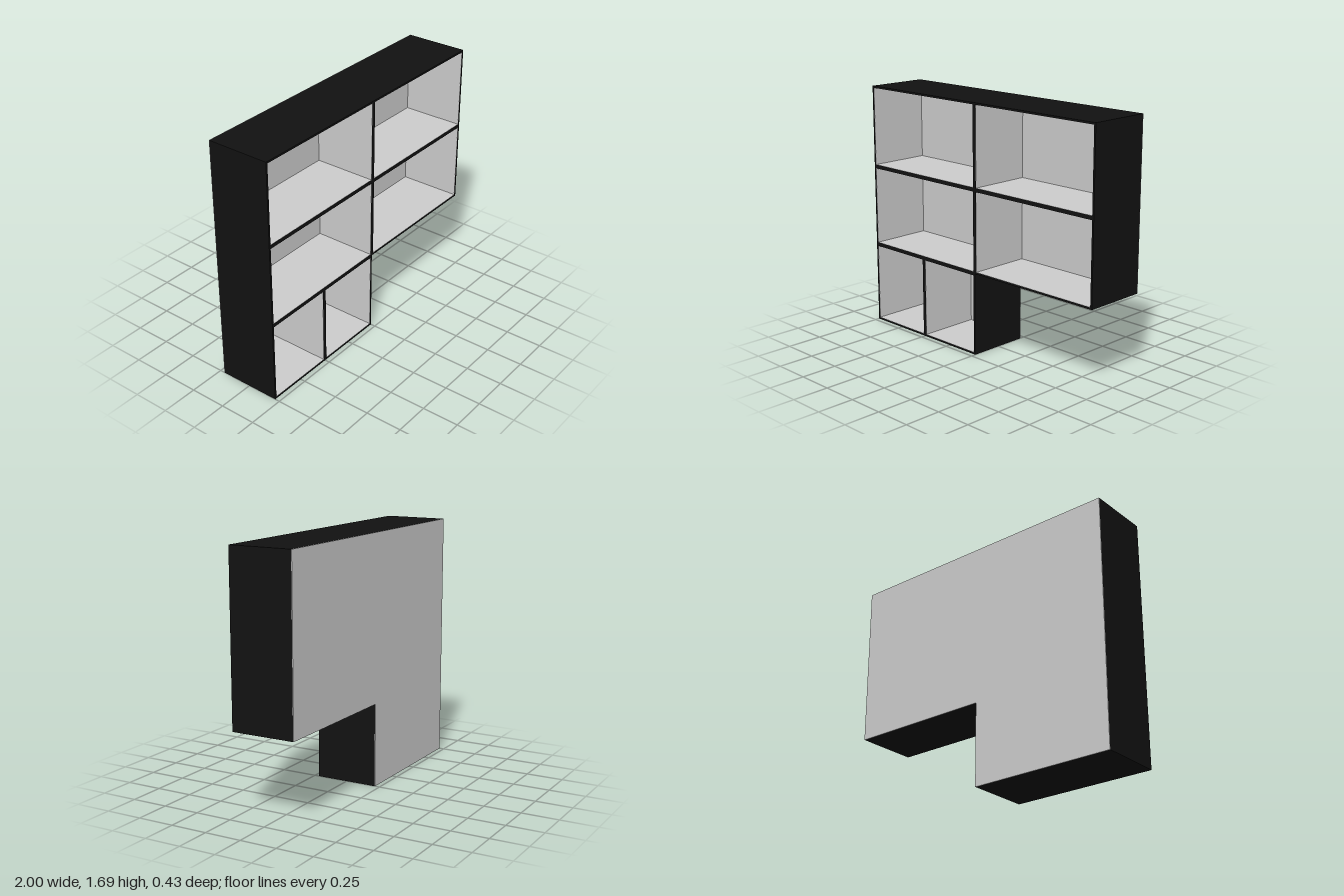
import * as THREE from 'three';

const H = 1.69 / 3;      // height of one row
const D = 0.434;         // overall depth
const WALL = 0.0125;     // wall of one compartment
const BACK = 0.004;      // back panel thickness
const SKIN = 0.001;      // inner lining thickness

// Compartments: left edge, row, width
const cells = [
  [-1, 0, 0.5], [-0.5, 0, 0.5],
  [-1, 1, 1], [0, 1, 1],
  [-1, 2, 1], [0, 2, 1],
];

const rectPoints = (x, y, w, h, inset) => [
  [x + inset, y + inset], [x + w - inset, y + inset],
  [x + w - inset, y + h - inset], [x + inset, y + h - inset],
].map(([a, b]) => new THREE.Vector2(a, b));

function extrude(shape, depth, z, material, name) {
  const geometry = new THREE.ExtrudeGeometry(shape, { depth, bevelEnabled: false });
  const mesh = new THREE.Mesh(geometry, material);
  mesh.position.z = z;
  mesh.name = name;
  return mesh;
}

export function createModel() {
  const black = new THREE.MeshStandardMaterial({ color: 0x111111 });
  const grey = new THREE.MeshStandardMaterial({ color: 0xcccccc });
  const group = new THREE.Group();
  group.name = 'shelfUnit';
  const zBack = -D / 2;

  // Stepped outline shared by the frame and the back panel
  const outline = [[-1, 0], [0, 0], [0, H], [1, H], [1, 3 * H], [-1, 3 * H]]
    .map(([x, y]) => new THREE.Vector2(x, y));

  // Dark frame with one opening per compartment
  const frame = new THREE.Shape(outline);
  for (const [x, row, w] of cells) {
    frame.holes.push(new THREE.Path(rectPoints(x, row * H, w, H, WALL)));
  }
  group.add(extrude(frame, D - BACK, zBack + BACK, black, 'frame'));

  // Grey back panel
  group.add(extrude(new THREE.Shape(outline), BACK, zBack, grey, 'backPanel'));

  // Grey lining on the inside walls of each compartment
  for (const [x, row, w] of cells) {
    const ring = new THREE.Shape(rectPoints(x, row * H, w, H, WALL));
    ring.holes.push(new THREE.Path(rectPoints(x, row * H, w, H, WALL + SKIN)));
    group.add(extrude(ring, D - BACK - SKIN, zBack + BACK, grey, 'compartmentLining'));
  }
  return group;
}
